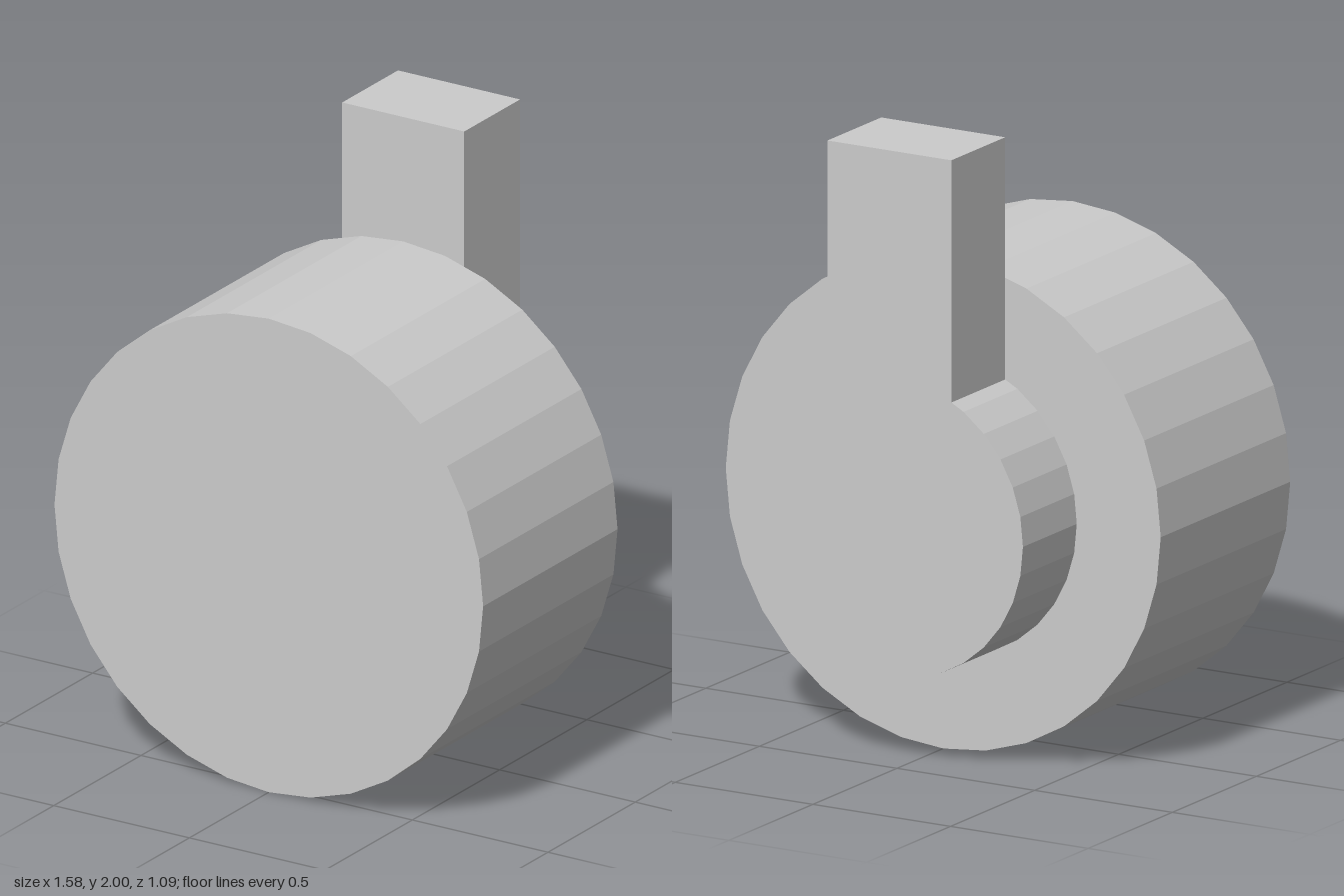
import * as THREE from 'three';

const SIDES = 32;
const AXIS_Y = 0.795; // height of the shared round axis
const BACK = -0.545, STEP = -0.225, FRONT = 0.545;

export function createModel() {
  const group = new THREE.Group();
  const material = new THREE.MeshStandardMaterial({ color: 0xcccccc, flatShading: true });

  const add = (name, geometry, y, z) => {
    const mesh = new THREE.Mesh(geometry, material);
    mesh.name = name;
    mesh.position.set(0, y, z);
    group.add(mesh);
  };

  // Large faceted drum, its axis along z
  const drum = new THREE.CylinderGeometry(0.79, 0.79, FRONT - STEP, SIDES).rotateX(Math.PI / 2);
  add('drum', drum, AXIS_Y, (FRONT + STEP) / 2);

  // Smaller rear hub and upright post, one keyhole-shaped outline
  const radius = 0.485, half = 0.225, top = 2 - AXIS_Y, joinY = 0.427;
  const outline = [[half, joinY], [half, top], [-half, top], [-half, joinY]];
  for (let i = 11; i <= 37; i++) {
    const a = (i / SIDES) * Math.PI * 2;
    outline.push([radius * Math.cos(a), radius * Math.sin(a)]);
  }
  const shape = new THREE.Shape(outline.map(([x, y]) => new THREE.Vector2(x, y)));
  const hub = new THREE.ExtrudeGeometry(shape, { depth: STEP - BACK, bevelEnabled: false });
  add('hubAndPost', hub, AXIS_Y, BACK);

  return group;
}
